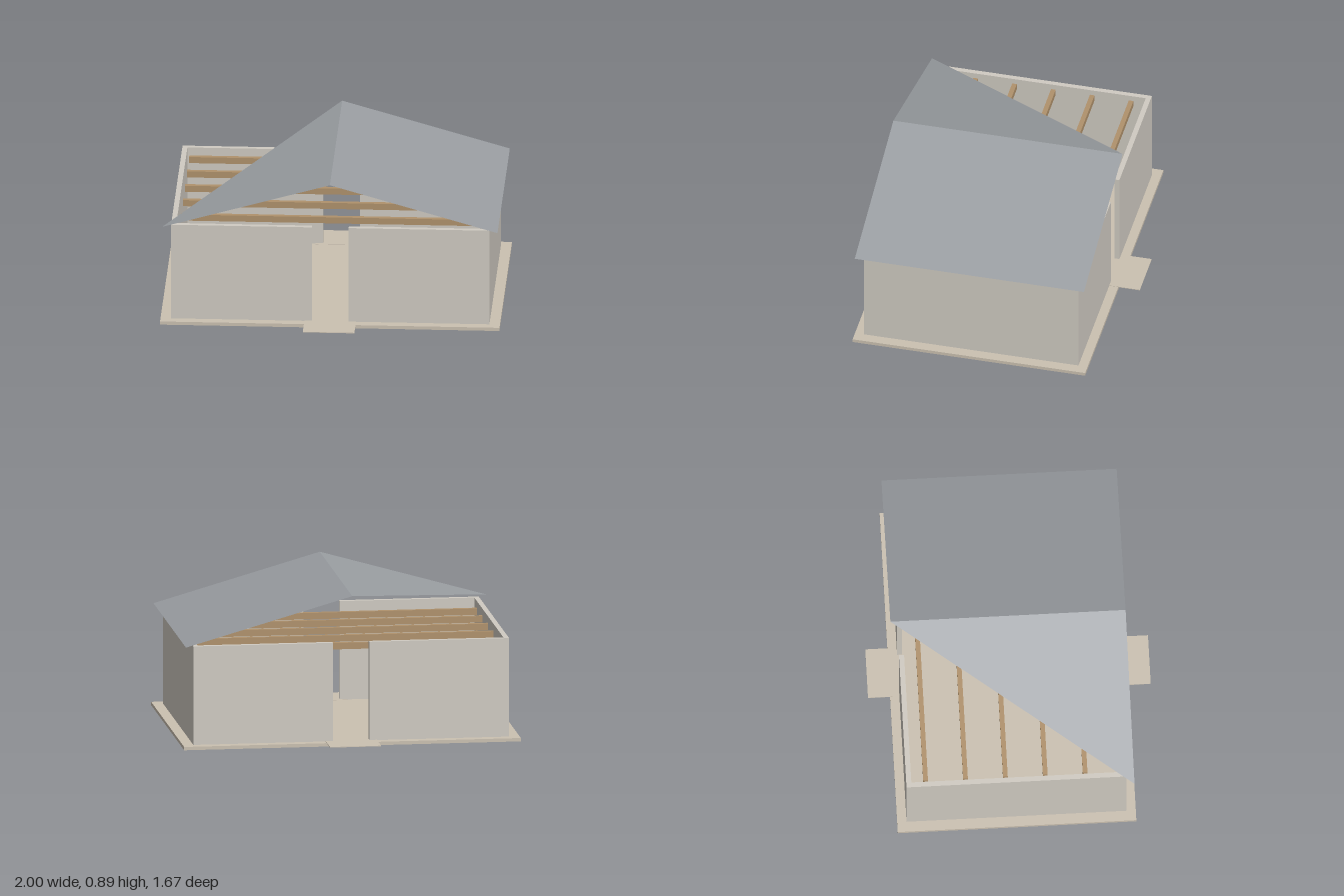
import * as THREE from 'three';

const material = (color, side = THREE.FrontSide) =>
  new THREE.MeshStandardMaterial({ color, side, flatShading: true });

export function createModel() {
  const group = new THREE.Group();
  const floorMat = material(0xcbc1b1);
  const wallMat = material(0xd0cbc2);
  const beamMat = material(0xb0926c);
  const roofMat = material(0x9a9ea2, THREE.DoubleSide);

  // Box given by its limits on each axis
  const box = (name, mat, [x0, x1], [y0, y1], [z0, z1]) => {
    const mesh = new THREE.Mesh(new THREE.BoxGeometry(x1 - x0, y1 - y0, z1 - z0), mat);
    mesh.position.set((x0 + x1) / 2, (y0 + y1) / 2, (z0 + z1) / 2);
    mesh.name = name;
    group.add(mesh);
  };

  // Floor slab, with a thin doorstep at the front and back
  box('floorSlab', floorMat, [-1, 1], [0, 0.02], [-0.703, 0.703]);
  box('frontStep', floorMat, [-0.152, 0.152], [0.018, 0.022], [0.6, 0.833]);
  box('backStep', floorMat, [-0.152, 0.152], [0.018, 0.022], [-0.833, -0.6]);

  // Walls: closed sides, front and back with a central doorway
  const X = 0.938, Z = 0.648, T = 0.03, door = 0.108;
  const height = [0.02, 0.61];
  box('leftWall', wallMat, [X - T, X], height, [-Z, Z]);
  box('rightWall', wallMat, [-X, -X + T], height, [-Z, Z]);
  for (const [side, z] of [['front', [Z - T, Z]], ['back', [-Z, -Z + T]]]) {
    box(side + 'WallLeft', wallMat, [door, X - T], height, z);
    box(side + 'WallRight', wallMat, [-X + T, -door], height, z);
  }

  // Ceiling beams
  for (let i = 0; i < 5; i++) {
    const z = -0.533 + i * 0.235;
    box('ceilingBeam', beamMat, [-0.893, 0.893], [0.55, 0.588], [z - 0.014, z + 0.014]);
  }

  // Thin gable roof: a full left slope and a right slope cut along its diagonal
  const rx = 0.988, rz = 0.693, eave = 0.613, ridge = 0.895;
  const ridgeBack = [0, ridge, -rz], ridgeFront = [0, ridge, rz];
  const slope = (name, corners, index) => {
    const geometry = new THREE.BufferGeometry();
    geometry.setAttribute('position', new THREE.Float32BufferAttribute(corners.flat(), 3));
    geometry.setIndex(index);
    const flat = geometry.toNonIndexed();
    flat.computeVertexNormals();
    const mesh = new THREE.Mesh(flat, roofMat);
    mesh.name = name;
    group.add(mesh);
  };
  slope('leftRoofSlope', [ridgeBack, ridgeFront, [rx, eave, rz], [rx, eave, -rz]], [0, 1, 2, 0, 2, 3]);
  slope('rightRoofSlope', [ridgeBack, [-rx, eave, rz], ridgeFront], [0, 1, 2]);

  return group;
}
